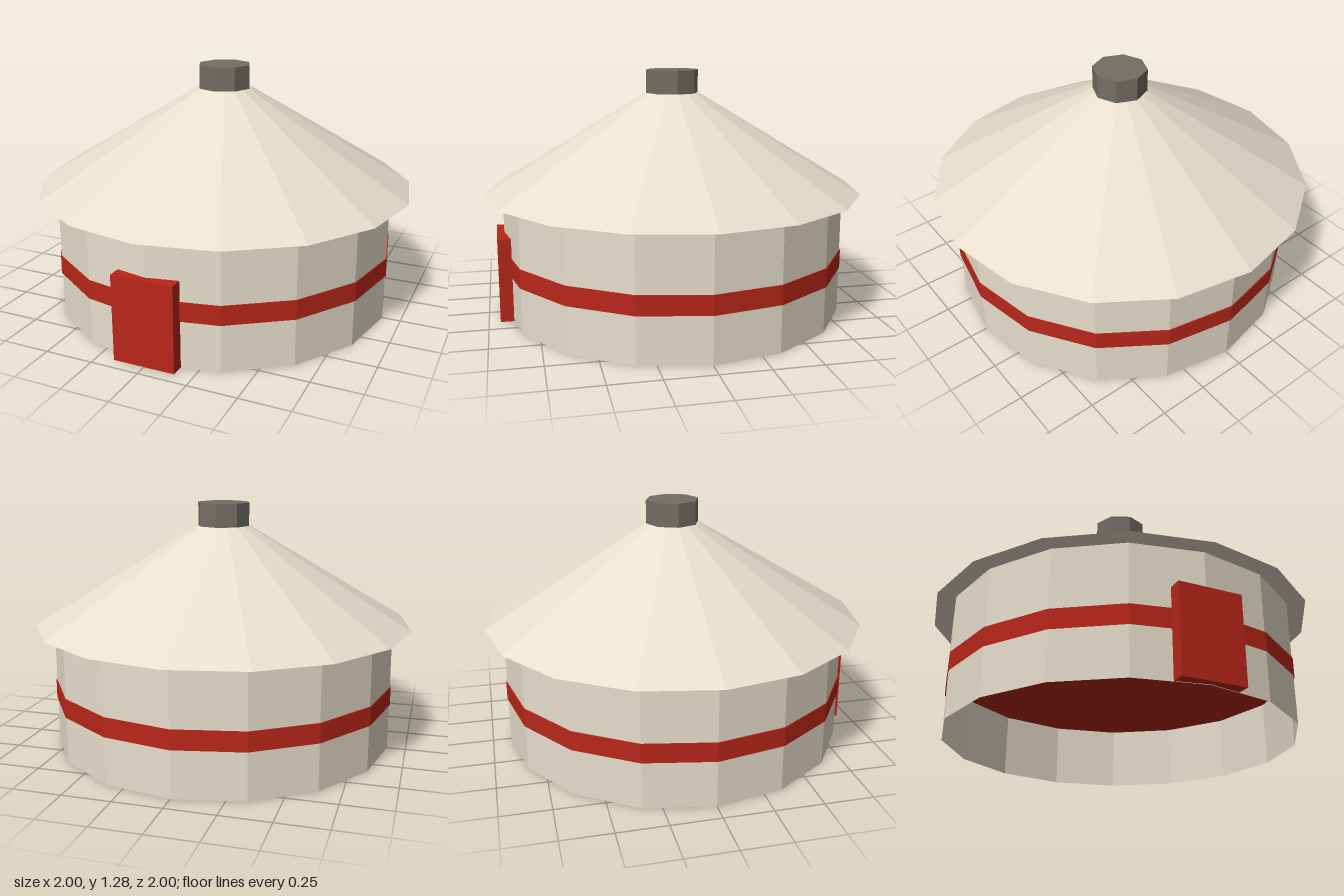
import * as THREE from 'three';

const paint = (name, color, side = THREE.FrontSide) => {
  const m = new THREE.MeshStandardMaterial({ color, flatShading: true, side });
  m.name = name;
  return m;
};

export function createModel() {
  const group = new THREE.Group();
  group.name = 'roundTent';

  const felt = paint('cream felt', 0xe8dfcc, THREE.DoubleSide);
  const red = paint('red', 0xb92619, THREE.DoubleSide);
  const grey = paint('dark grey', 0x736f64);

  const add = (name, geometry, material, y = 0, z = 0) => {
    const mesh = new THREE.Mesh(geometry, material);
    mesh.name = name;
    mesh.position.set(0, y, z);
    group.add(mesh);
  };

  // Faceted drum placed by its bottom and top heights
  const drum = (name, rTop, rBottom, y0, y1, sides, material, open = false) =>
    add(name, new THREE.CylinderGeometry(rTop, rBottom, y1 - y0, sides, 1, open), material, (y0 + y1) / 2);

  // Wall, open underneath
  drum('wall', 0.904, 0.904, 0, 0.641, 16, felt, true);

  // Belt around the wall, with a ceiling across its top edge
  const beltProfile = [[0.909, 0.24], [0.909, 0.338], [0, 0.338]].map(([r, y]) => new THREE.Vector2(r, y));
  add('belt', new THREE.LatheGeometry(beltProfile, 16), red);

  // Truncated conical roof with overhanging eaves
  drum('roof', 0.14, 1, 0.641, 1.158, 16, felt);
  // Crown over the smoke hole
  drum('crown', 0.14, 0.14, 1.158, 1.28, 8, grey);
  // Door slab at the front
  add('door', new THREE.BoxGeometry(0.32, 0.44, 0.07), red, 0.222, 0.906);

  return group;
}
